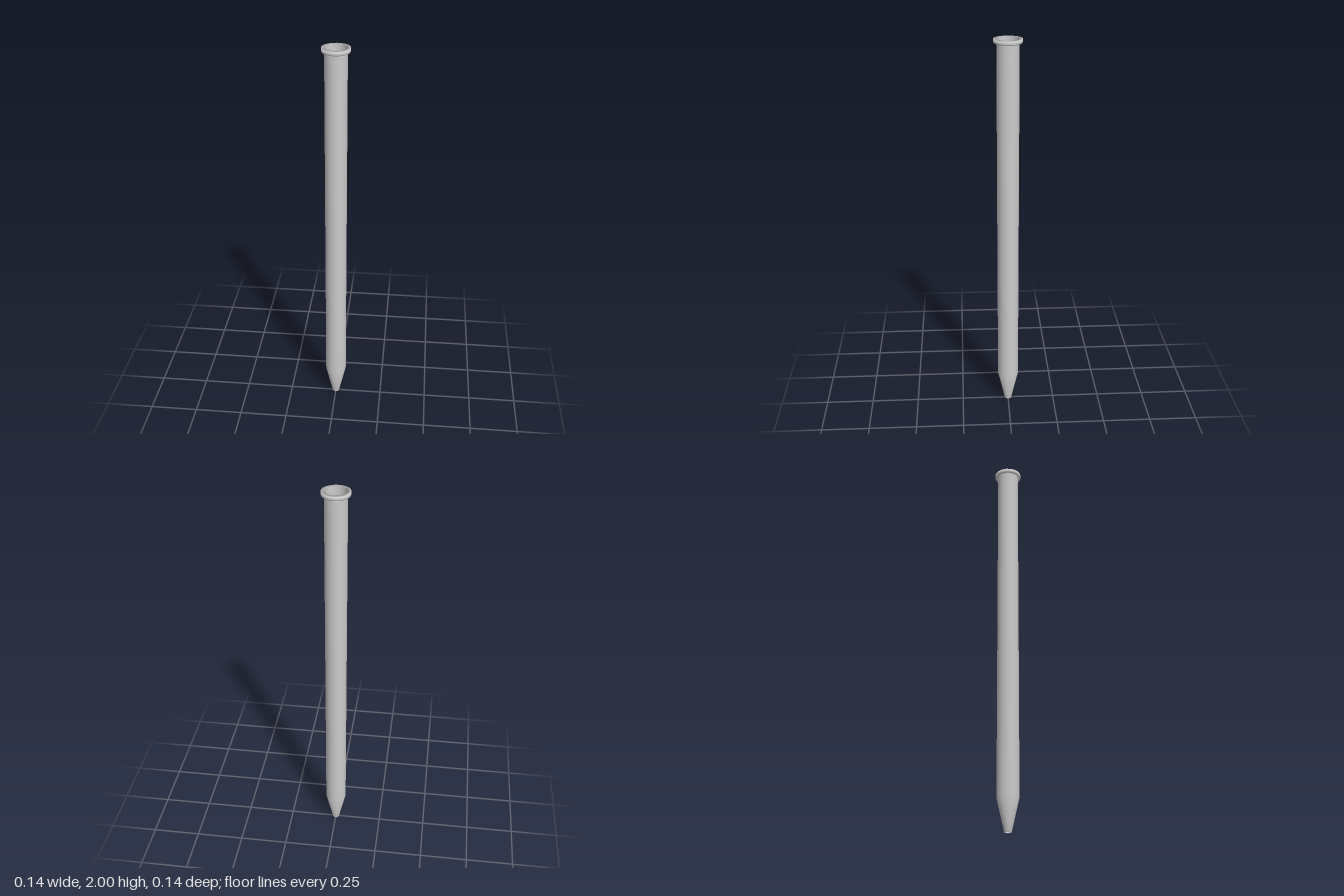
import * as THREE from 'three';

const SEGMENTS = 24;

export function createModel() {
  const group = new THREE.Group();
  group.name = 'taperedTube';
  const material = new THREE.MeshStandardMaterial({ color: 0xcccccc, side: THREE.DoubleSide });

  // Closed wall profile (radius, height): up the outside, over the rim, down the bore
  const profile = [
    [0.014, 0], // tip opening
    [0.018, 0],
    [0.055, 0.165], // shoulder of the tapered tip
    [0.055, 1.98],
    [0.067, 1.98], // underside of the rim
    [0.07, 1.985],
    [0.07, 2],
    [0.053, 2], // mouth
    [0.053, 0.165],
    [0.014, 0],
  ].map(([r, y]) => new THREE.Vector2(r, y));

  const tube = new THREE.Mesh(new THREE.LatheGeometry(profile, SEGMENTS), material);
  tube.name = 'rimmedHollowTube';
  group.add(tube);
  return group;
}
